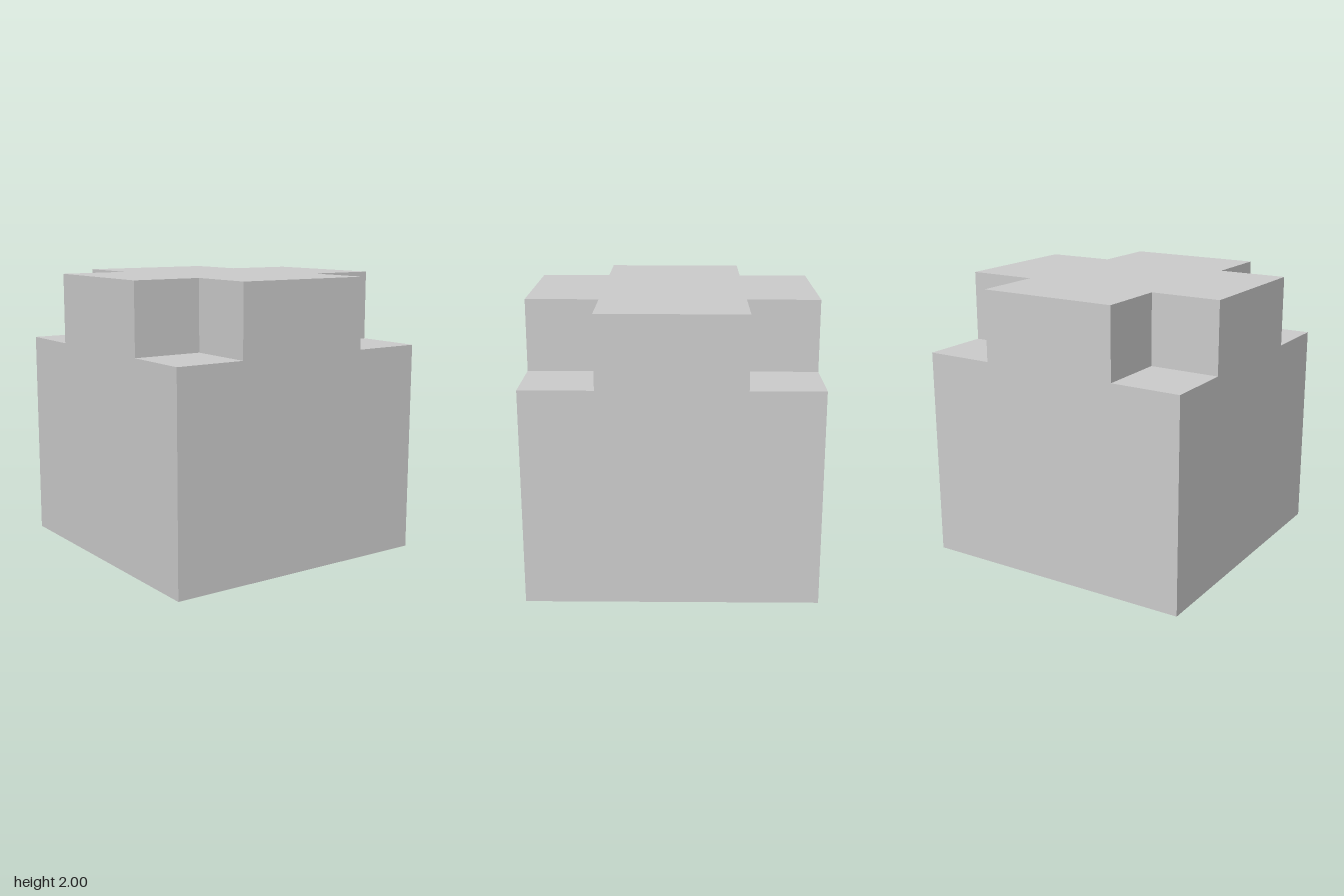
import * as THREE from 'three';
import { mergeGeometries } from 'three/addons/utils/BufferGeometryUtils.js';

const H = 1;     // half width of the cube
const N = 0.5;   // size of each corner notch
const I = H - N; // inner edge of the notches
const M = H - N / 2; // notch centre

const outline = (pts) =>
  new THREE.ShapeGeometry(new THREE.Shape(pts.map(([x, y]) => new THREE.Vector2(x, y))));

export function createModel() {
  const faces = [];

  // Top: a plus-shaped face
  const arm = [[H, -I], [H, I], [I, I]];
  const cross = [];
  for (let k = 0; k < 4; k++) {
    for (const [x, y] of arm) {
      cross.push([[x, y], [-y, x], [-x, -y], [y, -x]][k]);
    }
  }
  faces.push(outline(cross).rotateX(-Math.PI / 2).translate(0, 2 * H, 0));

  // Bottom: a full square
  faces.push(new THREE.PlaneGeometry(2 * H, 2 * H).rotateX(Math.PI / 2));

  const top = 2 * H, ledge = top - N;
  for (let k = 0; k < 4; k++) {
    const turn = (k * Math.PI) / 2;
    const quarter = [
      // Side wall with both upper corners stepped in
      outline([[-H, 0], [H, 0], [H, ledge], [I, ledge], [I, top], [-I, top], [-I, ledge], [-H, ledge]])
        .translate(0, 0, H),
      // Notch floor and its two inner walls
      new THREE.PlaneGeometry(N, N).rotateX(-Math.PI / 2).translate(M, ledge, M),
      new THREE.PlaneGeometry(N, N).rotateY(Math.PI / 2).translate(I, top - N / 2, M),
      new THREE.PlaneGeometry(N, N).translate(M, top - N / 2, I),
    ];
    for (const g of quarter) faces.push(g.rotateY(turn));
  }

  const mesh = new THREE.Mesh(
    mergeGeometries(faces),
    new THREE.MeshStandardMaterial({ color: 0xcccccc, flatShading: true })
  );
  mesh.name = 'notchedCube';

  const group = new THREE.Group();
  group.name = 'notchedBlock';
  group.add(mesh);
  return group;
}
